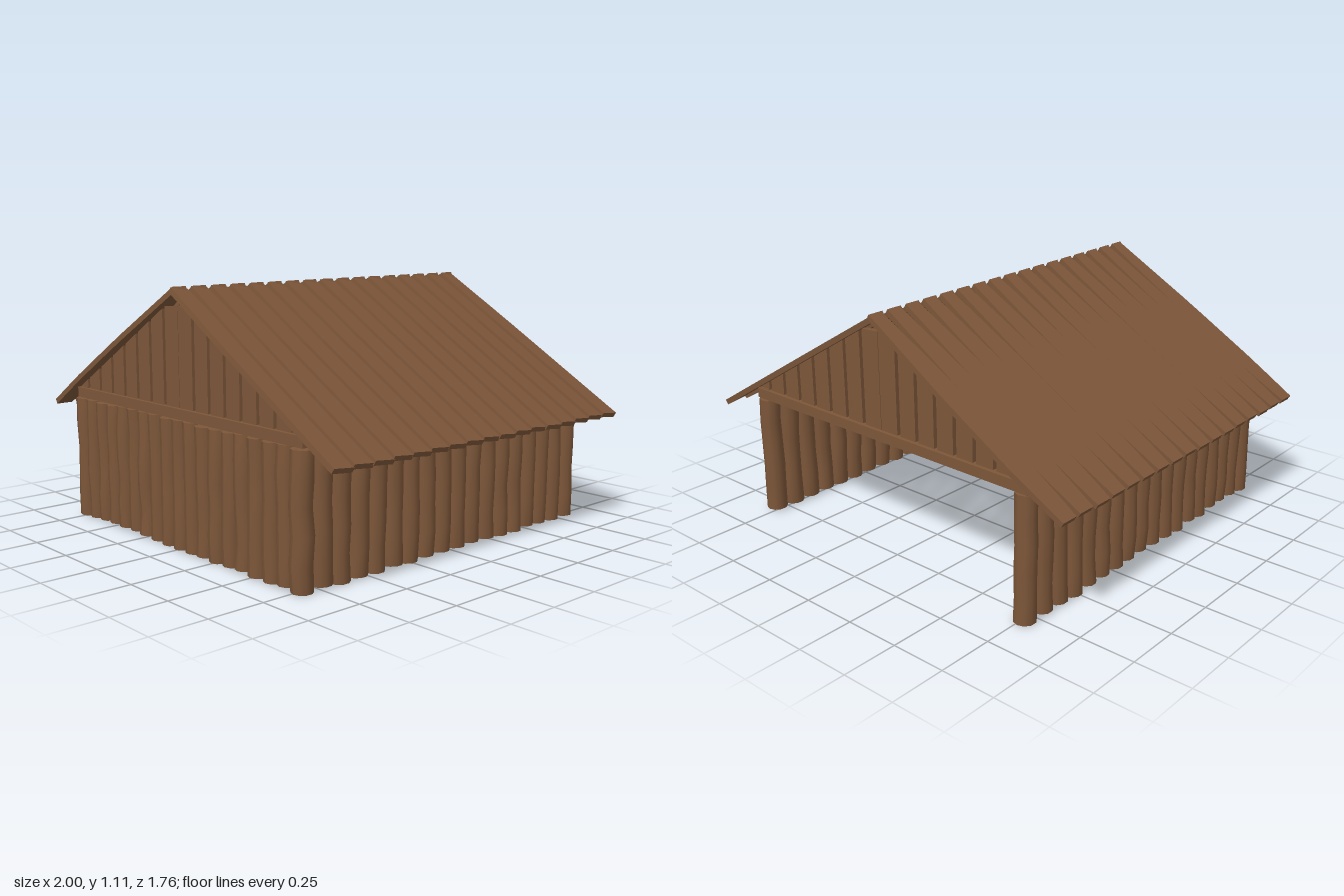
import * as THREE from 'three';

const wood = new THREE.MeshStandardMaterial({ color: 0x7c5639 });
wood.name = 'brown wood';

// small seeded generator for hand-cut irregularity
let seed = 11;
const rnd = (a) => {
  seed = (seed * 16807) % 2147483647;
  return (seed / 2147483647 * 2 - 1) * a;
};

function add(parent, geometry, name, x = 0, y = 0, z = 0) {
  const mesh = new THREE.Mesh(geometry, wood);
  mesh.name = name;
  mesh.position.set(x, y, z);
  parent.add(mesh);
  return mesh;
}

// upright log with a slightly wandering trunk
function logGeometry(radius) {
  const bottom = 0.007 + rnd(0.007), top = 0.56 + rnd(0.005);
  const rings = 5;
  const g = new THREE.CylinderGeometry(radius, radius, top - bottom, 10, rings);
  g.translate(0, (top + bottom) / 2, 0);
  const wobble = Array.from({ length: rings + 1 }, () => [rnd(0.004), rnd(0.004), 1 + rnd(0.04)]);
  const p = g.attributes.position;
  for (let i = 0; i < p.count; i++) {
    const [dx, dz, s] = wobble[Math.round((p.getY(i) - bottom) / (top - bottom) * rings)];
    p.setXYZ(i, p.getX(i) * s + dx, p.getY(i), p.getZ(i) * s + dz);
  }
  g.computeVertexNormals();
  return g;
}

// roof plank running along +x from the ridge, its width following a profile
function plankGeometry(length, thickness, widthAt) {
  const g = new THREE.BoxGeometry(length, thickness, 1, 8, 1, 1);
  g.translate(length / 2, -thickness / 2, 0);
  const p = g.attributes.position;
  const bow = rnd(0.003);
  for (let i = 0; i < p.count; i++) {
    const u = p.getX(i) / length;
    p.setZ(i, p.getZ(i) * widthAt(u) + bow * Math.sin(Math.PI * u));
  }
  g.computeVertexNormals();
  return g;
}

// gable board with its top cut to the roof slope
function gableBoard(xc, width) {
  const roofY = (x) => Math.min(1.035, 1.084 - 0.59 * Math.abs(x));
  const a = xc - width / 2, b = xc + width / 2;
  const shape = new THREE.Shape([[a, 0.585], [b, 0.585], [b, roofY(b)], [a, roofY(a)]]
    .map(([x, y]) => new THREE.Vector2(x, y)));
  const g = new THREE.ExtrudeGeometry(shape, { depth: 0.025, bevelEnabled: false });
  g.translate(0, 0, -0.0125);
  return g;
}

export function createModel() {
  const model = new THREE.Group();
  model.name = 'logShelter';

  // log walls: two sides and the front, the back stays open
  const walls = new THREE.Group();
  walls.name = 'logWalls';
  model.add(walls);
  for (const side of [-1, 1])
    for (let i = 0; i < 18; i++)
      add(walls, logGeometry(0.047), 'sideLog', side * 0.767, 0, 0.825 - i * 0.0953);
  for (let i = 1; i < 18; i++)
    add(walls, logGeometry(0.044), 'frontLog', -0.767 + i * 0.0852, 0, 0.825);

  // wall plate beams
  const frame = new THREE.Group();
  frame.name = 'beams';
  model.add(frame);
  for (const z of [0.82, -0.8])
    add(frame, new THREE.BoxGeometry(1.6, 0.045, 0.06), 'crossBeam', 0, 0.586, z);
  for (const x of [-0.765, 0.765])
    add(frame, new THREE.BoxGeometry(0.06, 0.045, 1.66), 'sideBeam', x, 0.588, 0.01);

  // spaced boards in both gables
  for (const [name, z] of [['frontGable', 0.82], ['backGable', -0.8]]) {
    const gable = new THREE.Group();
    gable.name = name;
    gable.position.z = z;
    model.add(gable);
    for (let i = 0; i < 16; i++) {
      const x = -0.78 + i * 0.104;
      const middle = Math.abs(x) < 0.1;
      add(gable, gableBoard(middle ? Math.sign(x) * 0.048 : x, middle ? 0.093 : 0.086), 'gableBoard');
    }
  }

  // roof: tilted lapped planks on the +x slope, bulging flat planks on the other
  const slope = Math.atan(0.59);
  const lapped = (u) => 0.088 + 0.022 * Math.min(1, u / 0.35);
  const bulging = (u) => (u < 0.5
    ? 0.066 + 0.04 * Math.min(1, u / 0.42)
    : 0.106 - 0.028 * Math.max(0, (u - 0.78) / 0.22));
  for (const [name, turn, widthAt, tilt] of [
    ['rightRoof', 0, lapped, -0.13], ['leftRoof', Math.PI, bulging, 0]]) {
    const side = new THREE.Group();
    side.name = name;
    side.position.y = tilt ? 1.109 : 1.115;
    side.rotation.y = turn;
    model.add(side);
    const pitch = new THREE.Group();
    pitch.rotation.z = -slope;
    side.add(pitch);
    for (let i = 0; i < 17; i++) {
      const plank = add(pitch, plankGeometry(1.158 + rnd(0.003), 0.024, widthAt),
        'roofPlank', 0, 0, -0.822 + i * 0.1028);
      plank.rotation.x = tilt;
    }
  }
  return model;
}
